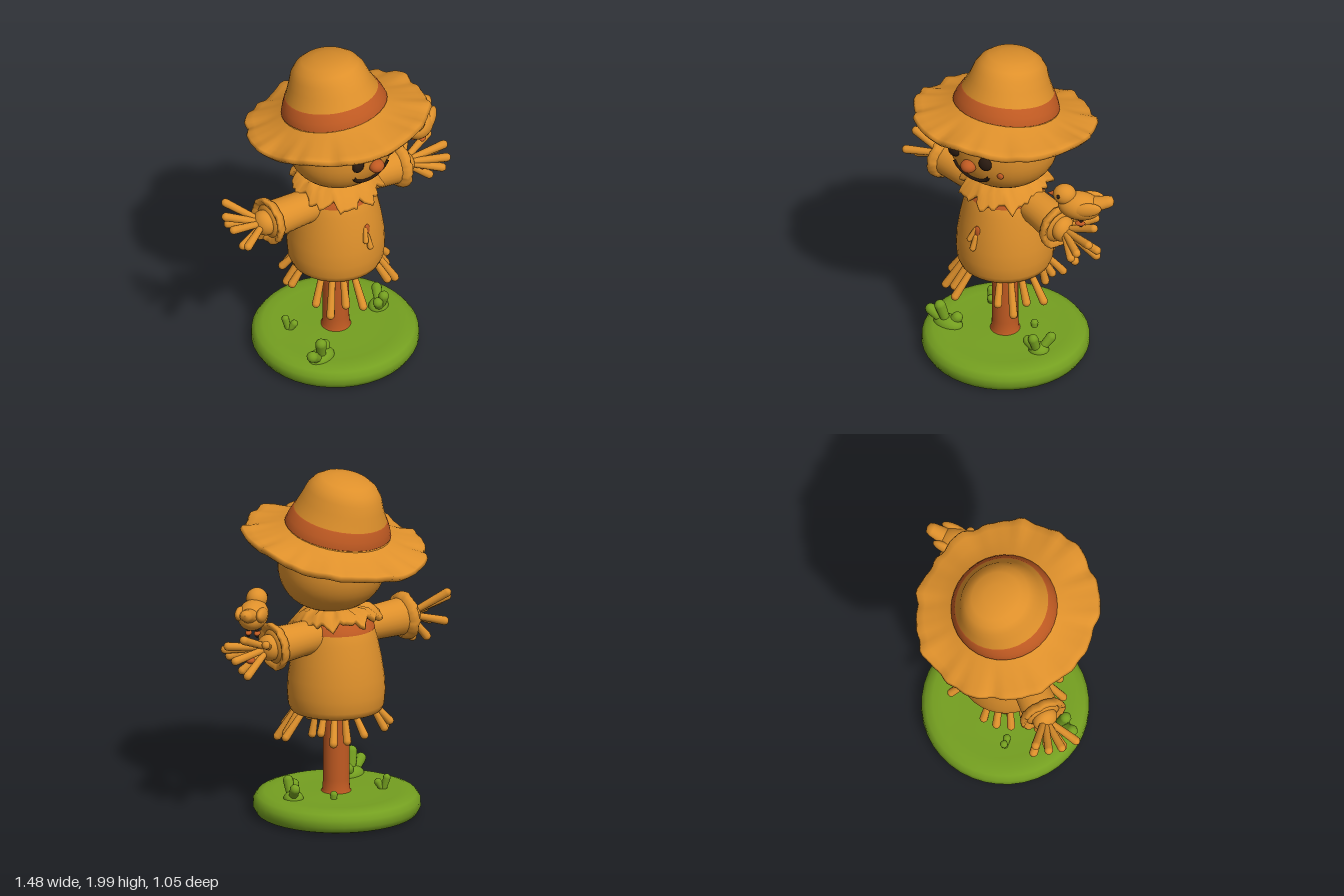
import * as THREE from 'three';
import { mergeVertices } from 'three/addons/utils/BufferGeometryUtils.js';

const V = (x, y, z) => new THREE.Vector3(x, y, z);

export function createModel() {
  const material = (name, color, side = THREE.FrontSide) => {
    const m = new THREE.MeshStandardMaterial({ color, side });
    m.name = name;
    return m;
  };
  const straw = material('straw orange', 0xde902b, THREE.DoubleSide);
  const rust = material('rust brown', 0xc05a22);
  const grass = material('grass green', 0x749f20);
  const dark = material('charcoal', 0x291a10);

  const model = new THREE.Group();
  model.name = 'scarecrow';

  const add = (parent, name, geo, mat, pos = [0, 0, 0], scale = [1, 1, 1]) => {
    const mesh = new THREE.Mesh(geo, mat);
    mesh.name = name;
    mesh.position.set(...pos);
    mesh.scale.set(...scale);
    parent.add(mesh);
    return mesh;
  };
  const group = (name, pos = [0, 0, 0]) => {
    const g = new THREE.Group();
    g.name = name;
    g.position.set(...pos);
    model.add(g);
    return g;
  };
  const lathe = (pts, seg = 32) => new THREE.LatheGeometry(pts.map(p => new THREE.Vector2(...p)), seg);
  const ball = new THREE.SphereGeometry(1, 28, 20);

  // Moves each vertex by a rule of its angle and radius, then smooths again
  const warp = (geo, rule) => {
    geo.deleteAttribute('uv');
    geo.deleteAttribute('normal');
    geo = mergeVertices(geo, 1e-4);
    const p = geo.attributes.position, v = V();
    for (let i = 0; i < p.count; i++) {
      v.fromBufferAttribute(p, i);
      rule(v, Math.atan2(v.x, v.z), Math.hypot(v.x, v.z));
      p.setXYZ(i, v.x, v.y, v.z);
    }
    geo.computeVertexNormals();
    return geo;
  };
  const jag = a => 0.45 * Math.sin(a * 9 + 1) + 0.35 * Math.sin(a * 17 + 2.3) + 0.2 * Math.sin(a * 29);

  // Rounded stalk from a to b, a little thinner at its root
  const stalk = (parent, name, a, b, r, mat) => {
    const d = b.clone().sub(a), len = d.length();
    const geo = new THREE.CapsuleGeometry(r, Math.max(len - r, 0.01), 4, 10);
    const p = geo.attributes.position;
    for (let i = 0; i < p.count; i++) {
      const k = p.getY(i) < 0 ? 0.75 : 1;
      p.setX(i, p.getX(i) * k);
      p.setZ(i, p.getZ(i) * k);
    }
    const m = add(parent, name, geo, mat);
    m.position.copy(a).addScaledVector(d, 0.5);
    m.quaternion.setFromUnitVectors(V(0, 1, 0), d.normalize());
    return m;
  };

  // Ground and grass
  add(model, 'groundDisc', lathe([[0, 0], [0.42, 0], [0.455, 0.012], [0.474, 0.045], [0.472, 0.085],
    [0.45, 0.115], [0.41, 0.13], [0.35, 0.129], [0.25, 0.124], [0, 0.13]], 40), grass, [-0.015, 0, -0.01]);
  const tuft = (name, x, z, r, tips) => {
    const g = group(name);
    for (const [tx, ty, tz] of tips) stalk(g, 'grassBlade', V(x, 0.11, z), V(tx, ty, tz), r, grass);
    return g;
  };
  const leftTuft = tuft('grassLeft', -0.31, 0.13, 0.033, [[-0.425, 0.205, 0.15], [-0.35, 0.265, 0.16], [-0.25, 0.185, 0.11]]);
  add(leftTuft, 'grassMound', ball, grass, [-0.31, 0.125, 0.13], [0.09, 0.05, 0.06]);
  const rightTuft = tuft('grassRight', 0.26, 0.09, 0.03, [[0.205, 0.205, 0.12], [0.25, 0.235, 0.13], [0.315, 0.21, 0.02]]);
  add(rightTuft, 'grassMound', ball, grass, [0.26, 0.125, 0.08], [0.06, 0.045, 0.055]);
  tuft('grassSmallBack', 0.12, -0.1, 0.022, [[0.12, 0.16, -0.1]]);
  tuft('grassSmallSide', -0.22, -0.18, 0.022, [[-0.23, 0.2, -0.2], [-0.2, 0.17, -0.15]]);

  // Pole
  add(model, 'pole', lathe([[0.09, 0.12], [0.078, 0.14], [0.075, 0.2], [0.075, 0.66]], 24), rust, [-0.015, 0, -0.005]);

  // Body
  const body = group('body', [-0.015, 0, -0.005]);
  add(body, 'torso', lathe([[0.21, 0.63], [0.235, 0.605], [0.258, 0.615], [0.272, 0.65], [0.278, 0.72], [0.273, 0.81],
    [0.256, 0.92], [0.233, 1.03], [0.212, 1.1], [0.185, 1.15], [0.13, 1.19], [0, 1.2]], 36), straw);
  add(body, 'neckBand', lathe([[0.219, 1.09], [0.214, 1.105], [0.189, 1.153], [0.135, 1.195]], 36), rust);
  const floor = add(body, 'torsoUnderside', new THREE.CircleGeometry(0.235, 32), rust, [0, 0.622, 0]);
  floor.rotation.x = Math.PI / 2;

  // Ragged collar, hanging lower in front
  add(body, 'collar', warp(lathe([[0.12, 1.17], [0.19, 1.165], [0.235, 1.145], [0.25, 1.155], [0.248, 1.172], [0.2, 1.21],
    [0.12, 1.23]], 80), (v, a, r) => {
    const t = Math.max(0, (r - 0.12) / 0.13), j = jag(a);
    const k = 1 + 0.13 * j * t;
    v.x *= k;
    v.z *= k;
    v.y += t * (-0.03 * (1 + Math.cos(a)) - 0.035 * j + 0.015);
  }), straw);

  // Straw below the torso, in four clumps
  const hem = group('hemStraw', [-0.015, 0, -0.005]);
  [[48, 0.1], [135, 0.02], [228, 0.0], [312, 0.13]].forEach(([mid, extra]) => {
    for (let i = -1.5; i <= 1.5; i++) {
      const a = THREE.MathUtils.degToRad(mid + i * 16), s = Math.sin(a), c = Math.cos(a);
      const r = 0.3 + 0.03 * Math.sin(i * 3 + mid) + extra * 0.2, y = 0.505 - extra * 0.4 + 0.03 * Math.cos(i * 2.2 + mid);
      stalk(hem, 'hemStrand', V(s * 0.21, 0.635, c * 0.21), V(s * r, y, c * r), 0.024, straw);
    }
  });
  stalk(hem, 'hemStrand', V(0.22, 0.63, -0.03), V(0.25, 0.51, -0.03), 0.024, straw);

  // Straw poking out of the chest
  const chest = group('chestStraw');
  add(chest, 'chestTear', ball, rust, [-0.045, 0.925, 0.243], [0.022, 0.038, 0.012]);
  stalk(chest, 'chestStrand', V(-0.055, 0.945, 0.24), V(-0.085, 0.87, 0.27), 0.016, straw);
  stalk(chest, 'chestStrand', V(-0.05, 0.9, 0.25), V(-0.055, 0.82, 0.28), 0.018, straw);

  // Arms: sleeve, narrow flared cuff and straw fingers
  const arm = (name, root, wrist, tips) => {
    const g = group(name), dir = wrist.clone().sub(root), L = dir.length();
    const sleeve = new THREE.Group();
    sleeve.name = 'sleeve';
    sleeve.position.copy(root);
    sleeve.quaternion.setFromUnitVectors(V(0, 1, 0), dir.clone().normalize());
    g.add(sleeve);
    add(sleeve, 'sleeveTube', lathe([[0.095, 0], [0.1, L * 0.5], [0.107, L - 0.03], [0.1, L], [0.07, L + 0.015], [0, L + 0.02]], 24), straw);
    add(sleeve, 'cuff', warp(lathe([[0.095, L - 0.04], [0.118, L - 0.038], [0.135, L - 0.015], [0.138, L + 0.008],
      [0.125, L + 0.018], [0.1, L + 0.005], [0.09, L - 0.01]], 48), (v, a, r) => {
      const t = Math.max(0, (r - 0.1) / 0.04);
      v.y += 0.01 * jag(a) * t;
    }), straw);
    dir.normalize();
    const palm = wrist.clone().addScaledVector(dir, 0.025);
    add(g, 'palm', ball, straw, palm.toArray(), [0.06, 0.075, 0.075]);
    for (const t of tips) {
      const tip = V(...t);
      stalk(g, 'strawFinger', palm.clone().lerp(tip, 0.08), tip, 0.025, straw);
    }
    return g;
  };
  arm('rightArm', V(-0.13, 1.06, -0.02), V(-0.48, 1.07, -0.12), [[-0.64, 1.21, -0.31], [-0.7, 1.165, -0.26],
    [-0.725, 1.12, -0.18], [-0.725, 1.05, -0.07], [-0.69, 1.0, -0.14], [-0.6, 0.925, -0.19], [-0.62, 1.04, -0.31], [-0.49, 0.94, -0.17]]);
  const leftArm = arm('leftArm', V(0.12, 1.075, 0), V(0.415, 1.05, 0.1), [[0.66, 1.14, 0.12], [0.685, 1.09, 0.22],
    [0.7, 1.015, 0.15], [0.66, 0.925, 0.09], [0.58, 0.92, 0.2], [0.64, 1.05, 0.28], [0.6, 1.0, 0.28], [0.6, 1.12, 0.0]]);
  add(leftArm, 'palmKnot', ball, rust, [0.54, 0.985, 0.16], [0.026, 0.018, 0.026]);

  // Head: a slightly squared ball
  const C = V(-0.01, 1.485, 0.02), R = V(0.322, 0.29, 0.3), E = 2.3;
  const head = group('head');
  const skull = Array.from({ length: 25 }, (_, i) => {
    const t = (i / 24 - 0.5) * Math.PI, s = Math.sin(t);
    return [Math.abs(Math.cos(t)) ** (2 / E), Math.sign(s) * Math.abs(s) ** (2 / E)];
  });
  add(head, 'skull', lathe(skull, 36), straw, C.toArray(), R.toArray());

  // Face, set on the surface of the head
  const onFace = (x, y, lift = 0) => {
    const u = (x - C.x) / R.x, k = (1 - Math.abs((y - C.y) / R.y) ** E) ** (1 / E);
    return V(x, y, C.z + R.z * Math.sqrt(k * k - u * u) + lift);
  };
  for (const [name, x, y] of [['rightEye', -0.17, 1.472], ['leftEye', 0.053, 1.475]])
    add(head, name, ball, dark, onFace(x, y, 0.003).toArray(), [0.04, 0.041, 0.028]);
  add(head, 'nose', ball, rust, onFace(-0.055, 1.425, 0.01).toArray(), [0.046, 0.038, 0.043]);
  add(head, 'cheek', ball, rust, onFace(0.13, 1.4).toArray(), [0.021, 0.02, 0.012]);
  const smile = new THREE.CatmullRomCurve3([[-0.185, 1.385], [-0.16, 1.35], [-0.11, 1.327], [-0.055, 1.32],
    [0, 1.327], [0.045, 1.35], [0.07, 1.385]].map(([x, y]) => onFace(x, y, 0.002)));
  add(head, 'smile', new THREE.TubeGeometry(smile, 32, 0.011, 8), dark);

  // Hat, tilted back; the crown narrows sideways toward the top
  const hat = group('hat', [-0.015, 1.61, 0]);
  hat.rotation.x = -0.205;
  const pinch = v => { v.x *= 1 - Math.min(0.09, Math.max(0, v.y - 0.09) * 0.7); };
  const crown = add(hat, 'crown', warp(lathe([[0.32, 0.02], [0.3, 0.055], [0.288, 0.1], [0.27, 0.155], [0.243, 0.23], [0.222, 0.29],
    [0.19, 0.334], [0.145, 0.364], [0.07, 0.378], [0, 0.38]], 36), pinch), straw);
  const band = add(hat, 'hatBand', warp(lathe([[0.298, 0.058], [0.304, 0.064], [0.292, 0.104], [0.276, 0.15], [0.268, 0.155]], 36), pinch), rust);
  crown.position.z = band.position.z = -0.005;
  add(hat, 'brim', warp(lathe([[0.29, 0.0], [0.4, -0.028], [0.47, -0.05], [0.515, -0.055], [0.535, -0.035],
    [0.525, -0.015], [0.48, -0.005], [0.4, 0.016], [0.33, 0.04], [0.285, 0.062]], 110), (v, a, r) => {
    const t = Math.max(0, (r - 0.36) / 0.165), j = jag(a), side = Math.sin(a) ** 2;
    const k = 1 + t * (0.03 * j - 0.005 - 0.035 * side);
    v.x *= k;
    v.z *= k;
    v.y += t * (0.008 * Math.sin(a * 5 + 1) + 0.014 * j + 0.014 * side - 0.008 * Math.cos(a));
  }), straw);

  // Bird perched on the left hand, beak toward local -x
  const bird = group('bird', [0.56, 1.265, 0.125]);
  bird.rotation.y = 0.45;
  add(bird, 'birdBody', ball, straw, [0, 0, 0], [0.125, 0.082, 0.085]).rotation.z = -0.12;
  add(bird, 'birdHead', ball, straw, [-0.085, 0.073, 0], [0.066, 0.06, 0.06]);
  const tail = add(bird, 'birdTail', lathe([[0.08, -0.12], [0.068, -0.05], [0.05, 0.02], [0.042, 0.08], [0.032, 0.105], [0, 0.115]], 20),
    straw, [0.085, 0.015, 0], [0.8, 1, 0.95]);
  tail.rotation.z = -Math.PI / 2 + 0.3;
  const beak = add(bird, 'beak', new THREE.ConeGeometry(0.022, 0.05, 12), rust, [-0.16, 0.075, 0]);
  beak.rotation.z = Math.PI / 2;
  for (const s of [1, -1]) {
    add(bird, 'birdEye', ball, dark, [-0.115, 0.085, s * 0.047], [0.012, 0.013, 0.01]);
    const wing = add(bird, 'wing', ball, straw, [0.045, 0.015, s * 0.062], [0.085, 0.042, 0.028]);
    wing.rotation.z = 0.15;
    stalk(bird, 'birdLeg', V(0.01, -0.07, s * 0.025), V(0.01, -0.125, s * 0.025), 0.01, dark);
    add(bird, 'birdFoot', ball, rust, [0.005, -0.105, s * 0.025], [0.03, 0.014, 0.018]);
  }
  return model;
}
